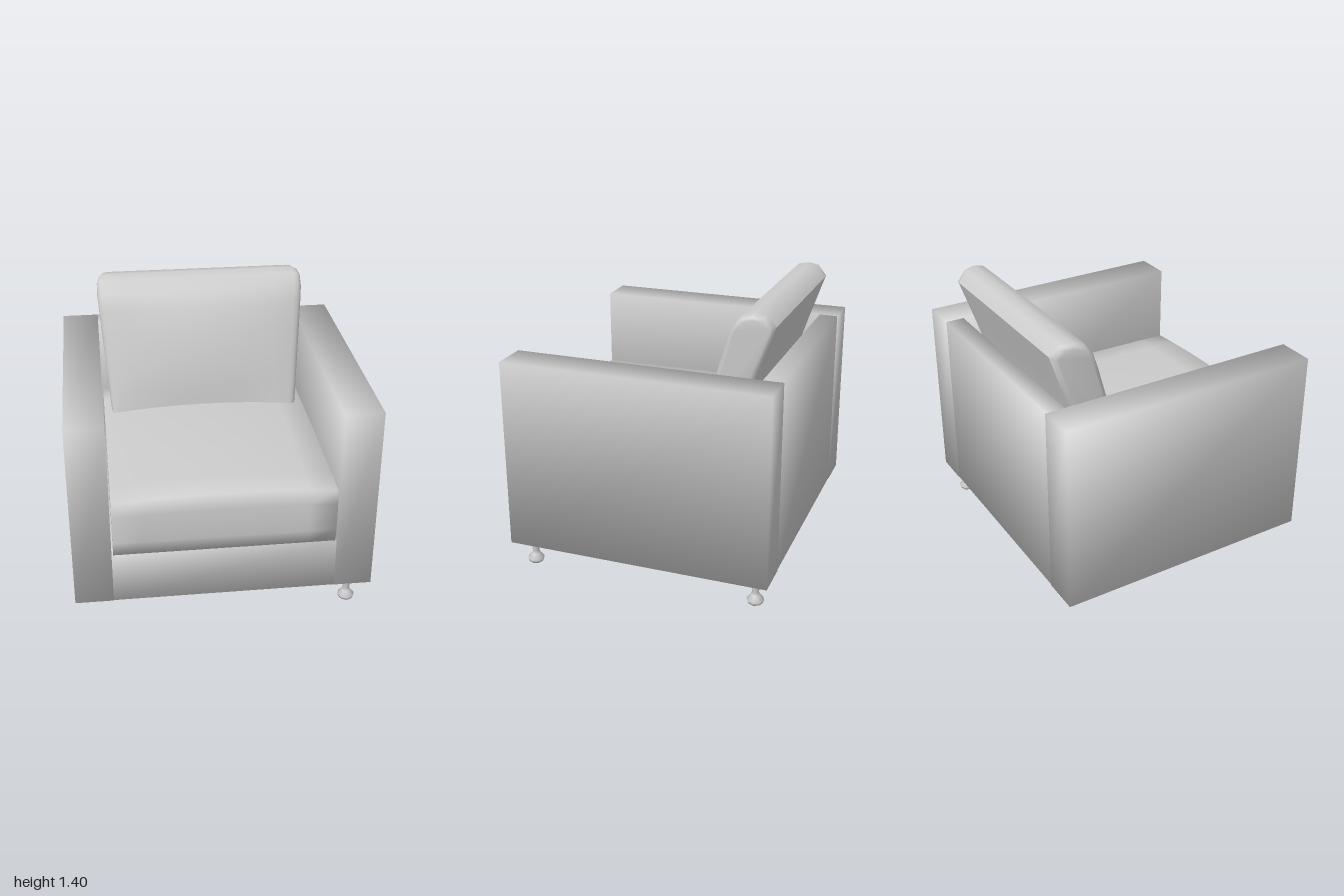
import * as THREE from 'three';
import { mergeVertices, toCreasedNormals } from 'three/addons/utils/BufferGeometryUtils.js';

const material = new THREE.MeshStandardMaterial({ color: 0xcccccc, side: THREE.DoubleSide });

function part(parent, name, geometry) {
  const mesh = new THREE.Mesh(geometry, material);
  mesh.name = name;
  parent.add(mesh);
  return mesh;
}

// Weld all corners so the shading flows round the edges
function weld(geometry) {
  geometry.deleteAttribute('uv');
  geometry.deleteAttribute('normal');
  const welded = mergeVertices(geometry, 1e-4);
  welded.computeVertexNormals();
  return welded;
}

// Softly shaded box given by its limits: each corner normal points diagonally out
function panel(parent, name, x0, x1, y0, y1, z0, z1) {
  const g = new THREE.BoxGeometry(x1 - x0, y1 - y0, z1 - z0);
  const p = g.attributes.position, n = g.attributes.normal;
  for (let i = 0; i < p.count; i++) {
    n.setXYZ(i, Math.sign(p.getX(i)), Math.sign(p.getY(i)), Math.sign(p.getZ(i)));
  }
  g.normalizeNormals();
  g.translate((x0 + x1) / 2, (y0 + y1) / 2, (z0 + z1) / 2);
  return part(parent, name, g);
}

// Seat pad with a crowned top and slightly swollen front
function seatCushionGeometry() {
  const w = 1.09, h = 0.29, d = 1.24;
  const g = new THREE.BoxGeometry(w, h, d, 8, 4, 8);
  const p = g.attributes.position;
  for (let i = 0; i < p.count; i++) {
    const u = p.getX(i) / (w / 2), t = p.getY(i) / (h / 2), v = p.getZ(i) / (d / 2);
    const crown = 0.022 * (1 - u * u) + 0.016 * (1 - u * u) * (1 - v * v) + 0.006 * (1 - v * v);
    p.setY(i, p.getY(i) + Math.max(0, t) * crown);
    p.setZ(i, p.getZ(i) + Math.max(0, v) * 0.012 * (1 - t * t));
  }
  return weld(g);
}

// Leaning back pad: side profile (z, y) swept across the seat with rounded ends,
// its front flared towards the top and puffed out in the middle
function backCushionGeometry() {
  const profile = [
    [-0.225, 0.7], [-0.26, 0.83], [-0.295, 0.95], [-0.345, 1.12], [-0.38, 1.24], [-0.41, 1.33],
    [-0.455, 1.388], [-0.51, 1.402], [-0.565, 1.395], [-0.61, 1.34], [-0.535, 1.12], [-0.47, 0.92], [-0.42, 0.7],
  ];
  const shape = new THREE.Shape(profile.map(([z, y]) => new THREE.Vector2(z, y)));
  const width = 1.02, end = 0.04;
  const g = new THREE.ExtrudeGeometry(shape, {
    depth: width - 2 * end, steps: 10,
    bevelThickness: end, bevelSize: 0.025, bevelOffset: -0.025, bevelSegments: 3,
  });
  g.translate(0, 0, end - width / 2);
  g.rotateY(-Math.PI / 2);
  const p = g.attributes.position;
  for (let i = 0; i < p.count; i++) {
    const u = p.getX(i) / (width / 2), z = p.getZ(i);
    const s = THREE.MathUtils.clamp((p.getY(i) - 0.7) / 0.7, 0, 1);
    const front = THREE.MathUtils.smoothstep(z + 0.33 + 0.18 * s, -0.08, 0.08);
    p.setX(i, p.getX(i) * (0.985 + (0.05 + 0.06 * front) * s));
    p.setZ(i, z + front * 0.045 * (1 - u * u) * Math.sin(Math.PI * s));
  }
  return toCreasedNormals(weld(g), 1.0);
}

export function createModel() {
  const model = new THREE.Group();
  model.name = 'armchair';

  // The chair stands turned towards its right
  const chair = new THREE.Group();
  chair.name = 'chair';
  chair.rotation.y = THREE.MathUtils.degToRad(-44.5);
  model.add(chair);

  const outer = 0.742, inner = 0.553, half = 0.672, bottom = 0.14, top = 1.107;
  const backFront = -half + 0.1;

  // Arms
  panel(chair, 'rightArm', -outer, -inner, bottom, top, -half, half);
  panel(chair, 'leftArm', inner, outer, bottom, top, -half, half);

  // Back and the solid base under the seat
  panel(chair, 'backPanel', -inner, inner, bottom, top, -half + 0.003, backFront);
  panel(chair, 'seatBase', -inner, inner, bottom, 0.41, backFront, half - 0.003);

  // Cushions
  part(chair, 'seatCushion', seatCushionGeometry()).position.set(0, 0.555, 0.05);
  part(chair, 'backCushion', backCushionGeometry());

  // Turned legs, under the left arm only
  const legProfile = [[0, 0], [0.036, 0], [0.044, 0.018], [0.022, 0.045], [0.017, 0.06], [0.026, 0.145]];
  const legGeometry = new THREE.LatheGeometry(legProfile.map(([r, y]) => new THREE.Vector2(r, y)), 8);
  for (const [name, z] of [['frontLeg', 0.59], ['backLeg', -0.59]]) {
    part(chair, name, legGeometry).position.set(0.64, 0, z);
  }

  return model;
}
